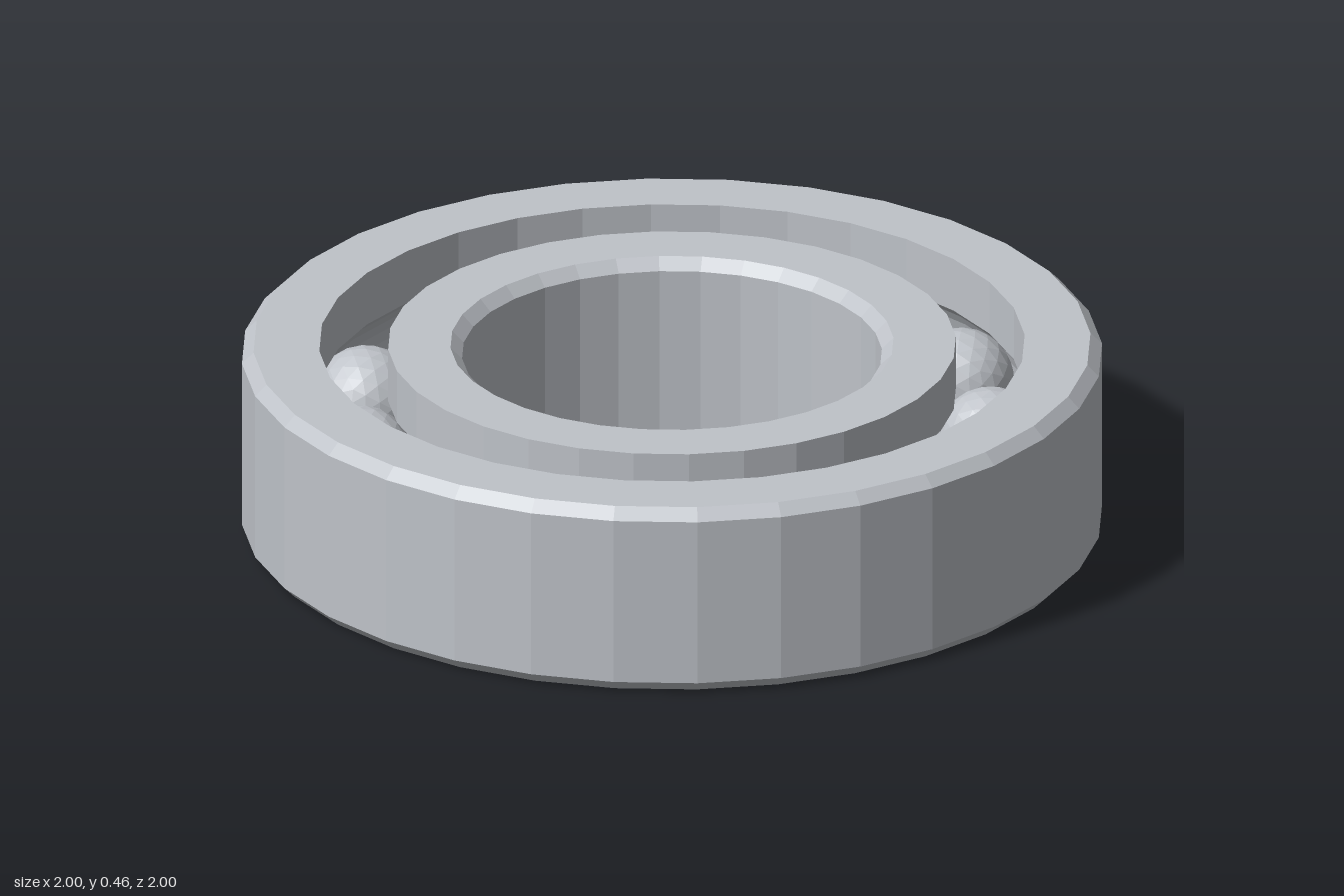
import * as THREE from 'three';

const HEIGHT = 0.46, MID = HEIGHT / 2;   // ring width and its mid-plane
const CHAMFER = 0.027, SEGMENTS = 32;
const PITCH = 0.74, BALL_RADIUS = 0.125, GROOVE_RADIUS = 0.128, BALLS = 13;

// Points of the ball groove cut into a wall at the given radius, from low to high
function groove(wall) {
  const side = Math.sign(wall - PITCH);
  const limit = Math.acos(Math.abs(wall - PITCH) / GROOVE_RADIUS);
  const points = [];
  for (let i = 0; i <= 8; i++) {
    const a = limit * (i / 4 - 1);
    points.push([PITCH + side * GROOVE_RADIUS * Math.cos(a), MID + GROOVE_RADIUS * Math.sin(a)]);
  }
  return points;
}

// Revolves a closed counter-clockwise (radius, height) profile
function ring(name, profile, material) {
  const points = [...profile, profile[0]].map(([r, y]) => new THREE.Vector2(r, y));
  const mesh = new THREE.Mesh(new THREE.LatheGeometry(points, SEGMENTS), material);
  mesh.name = name;
  return mesh;
}

export function createModel() {
  const steel = new THREE.MeshStandardMaterial({ color: 0xbfc3c9, flatShading: true });
  steel.name = 'steel';
  const model = new THREE.Group();
  model.name = 'ballBearing';

  // Outer ring: chamfered outside, grooved inside
  const outer = 1, outerWall = 0.82;
  model.add(ring('outerRing', [
    [outer - CHAMFER, 0], [outer, CHAMFER],
    [outer, HEIGHT - CHAMFER], [outer - CHAMFER, HEIGHT],
    [outerWall, HEIGHT], ...groove(outerWall).reverse(), [outerWall, 0],
  ], steel));

  // Inner ring: grooved outside, chamfered bore
  const bore = 0.488, innerWall = 0.66;
  model.add(ring('innerRing', [
    [innerWall, 0], ...groove(innerWall), [innerWall, HEIGHT],
    [bore + CHAMFER, HEIGHT], [bore, HEIGHT - CHAMFER],
    [bore, CHAMFER], [bore + CHAMFER, 0],
  ], steel));

  // Balls spaced evenly round the race
  const balls = new THREE.Group();
  balls.name = 'balls';
  const ballGeometry = new THREE.IcosahedronGeometry(BALL_RADIUS, 3);
  for (let i = 0; i < BALLS; i++) {
    const a = (i / BALLS) * Math.PI * 2;
    const ball = new THREE.Mesh(ballGeometry, steel);
    ball.name = 'ball';
    ball.position.set(PITCH * Math.cos(a), MID, PITCH * Math.sin(a));
    ball.rotation.y = -a;
    balls.add(ball);
  }
  model.add(balls);
  return model;
}
